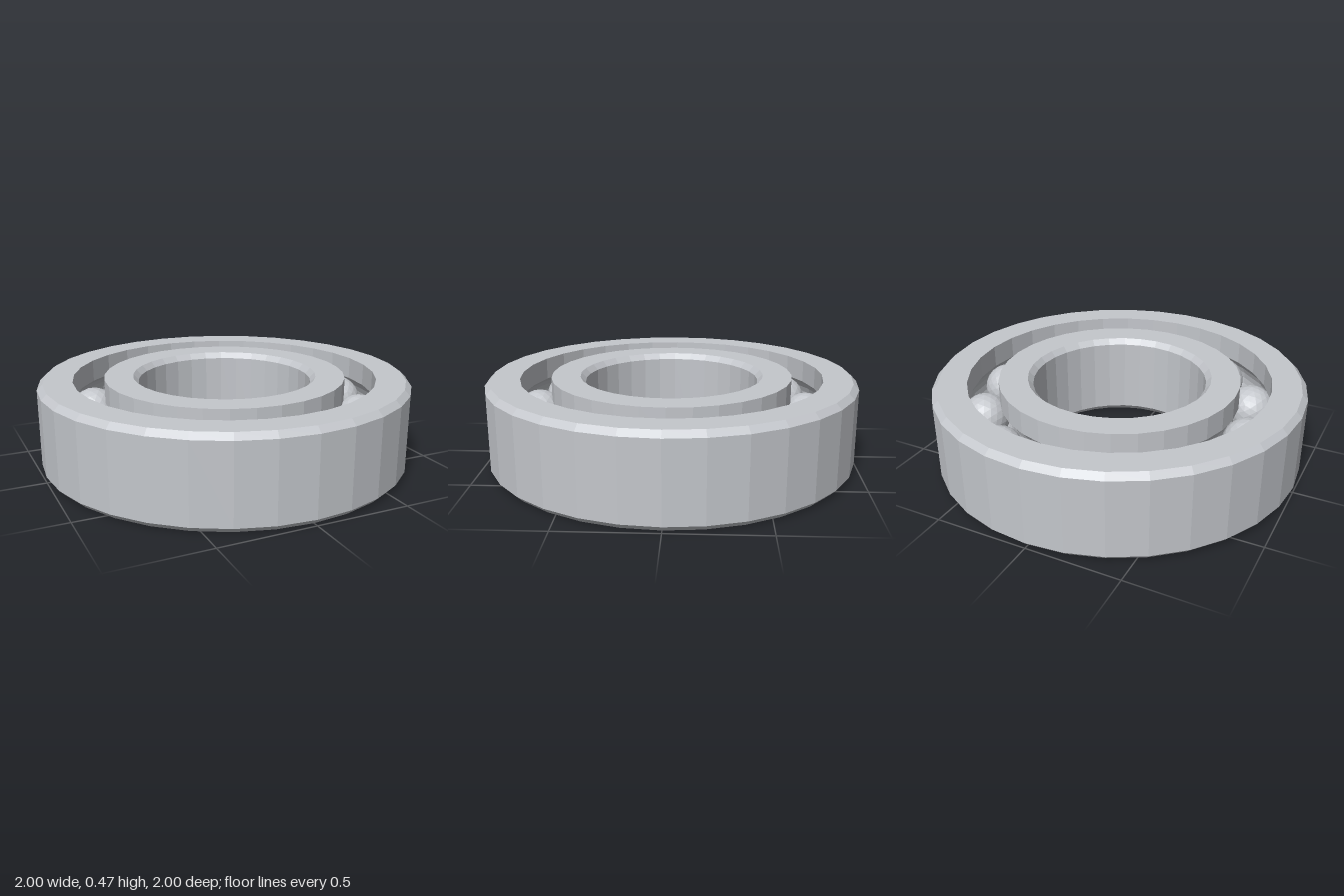
import * as THREE from 'three';

const HEIGHT = 0.47, MID = HEIGHT / 2, CHAMFER = 0.03;
const PITCH = 0.735, BALL_RADIUS = 0.13, GROOVE_RADIUS = 0.14;
const BALLS = 12, SEGMENTS = 32;

// Give every face its own normal for a faceted look
function faceted(geometry) {
  const flat = geometry.index ? geometry.toNonIndexed() : geometry;
  flat.computeVertexNormals();
  return flat;
}

// Ball track: arc about the pitch circle, starting and ending at the wall radius
function groove(wallRadius, side) {
  const limit = Math.acos(Math.abs(wallRadius - PITCH) / GROOVE_RADIUS);
  const points = [];
  for (let i = 0; i <= 8; i++) {
    const a = -limit + (2 * limit * i) / 8;
    points.push([PITCH + side * GROOVE_RADIUS * Math.cos(a), MID - side * GROOVE_RADIUS * Math.sin(a)]);
  }
  return points;
}

// Revolve a closed cross-section of [radius, height] points
function ring(name, profile, material) {
  const points = [...profile, profile[0]].map(([r, y]) => new THREE.Vector2(r, y));
  const mesh = new THREE.Mesh(faceted(new THREE.LatheGeometry(points, SEGMENTS)), material);
  mesh.name = name;
  return mesh;
}

export function createModel() {
  const model = new THREE.Group();
  model.name = 'ballBearing';
  const steel = new THREE.MeshStandardMaterial({ color: 0xc4c7cc });
  steel.name = 'steel';

  // Outer ring: chamfered outside, ball track inside
  model.add(ring('outerRing', [
    [0.815, 0], [1 - CHAMFER, 0], [1, CHAMFER],
    [1, HEIGHT - CHAMFER], [1 - CHAMFER, HEIGHT], [0.815, HEIGHT],
    ...groove(0.815, 1),
  ], steel));

  // Inner ring: ball track outside, chamfered bore
  model.add(ring('innerRing', [
    [0.495, 0], [0.65, 0],
    ...groove(0.65, -1),
    [0.65, HEIGHT], [0.495, HEIGHT],
    [0.467, HEIGHT - CHAMFER], [0.467, CHAMFER],
  ], steel));

  // Balls spaced evenly between the rings
  const balls = new THREE.Group();
  balls.name = 'balls';
  const ballGeometry = faceted(new THREE.IcosahedronGeometry(BALL_RADIUS, 3));
  for (let i = 0; i < BALLS; i++) {
    const a = (i / BALLS) * Math.PI * 2;
    const ball = new THREE.Mesh(ballGeometry, steel);
    ball.name = 'ball';
    ball.position.set(PITCH * Math.cos(a), MID, PITCH * Math.sin(a));
    balls.add(ball);
  }
  model.add(balls);

  return model;
}
